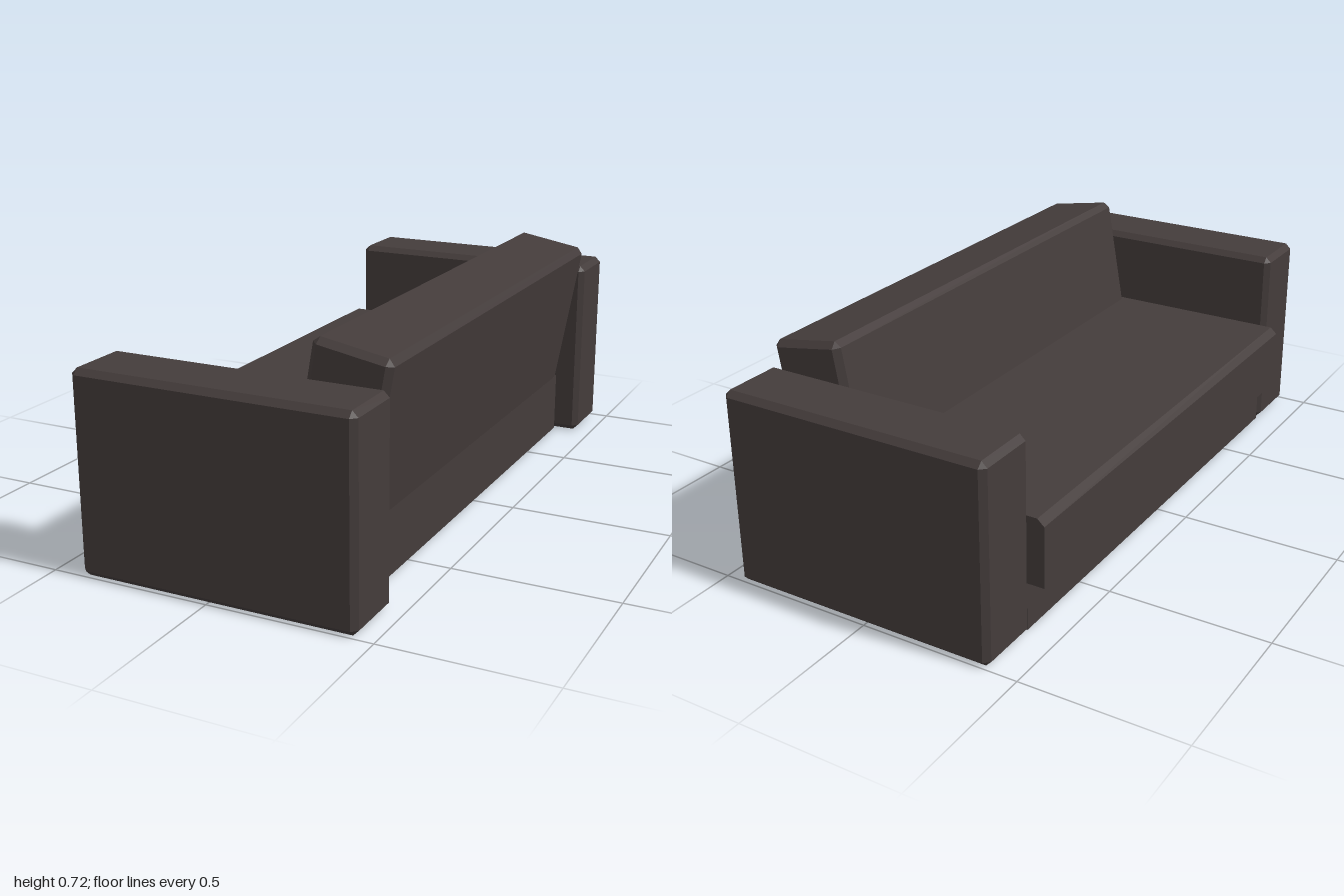
import * as THREE from 'three';
import { ConvexGeometry } from 'three/addons/geometries/ConvexGeometry.js';

// Box with every edge cut at 45 degrees
function chamferedBox(w, h, d, c) {
  const half = [w / 2, h / 2, d / 2];
  const points = [];
  for (const sx of [-1, 1]) for (const sy of [-1, 1]) for (const sz of [-1, 1]) {
    for (let axis = 0; axis < 3; axis++) {
      const [x, y, z] = half.map((s, i) => (i === axis ? s : s - c));
      points.push(new THREE.Vector3(sx * x, sy * y, sz * z));
    }
  }
  return new ConvexGeometry(points);
}

export function createModel() {
  const sofa = new THREE.Group();
  sofa.name = 'sofa';
  const fabric = new THREE.MeshStandardMaterial({ color: 0x443c3b });
  fabric.name = 'dark brown fabric';

  const add = (name, geometry, x, y, z) => {
    const mesh = new THREE.Mesh(geometry, fabric);
    mesh.name = name;
    mesh.position.set(x, y, z);
    sofa.add(mesh);
    return mesh;
  };

  const innerLength = 1.574;

  // Arms at both ends
  const arm = chamferedBox(0.86, 0.607, 0.213, 0.0175);
  for (const side of [-1, 1]) {
    add(side > 0 ? 'leftArm' : 'rightArm', arm, 0.02, 0.3035, side * 0.8935);
  }

  // Base between the arms
  add('base', new THREE.BoxGeometry(0.766, 0.2, innerLength), -0.017, 0.1, 0);

  // Seat with a cut upper front edge
  const profile = new THREE.Shape([
    [-0.455, 0.15], [0.3, 0.15], [0.3, 0.36], [-0.433, 0.36], [-0.455, 0.34],
  ].map(([x, y]) => new THREE.Vector2(x, y)));
  const seat = new THREE.ExtrudeGeometry(profile, { depth: innerLength, bevelEnabled: false });
  add('seat', seat, 0, 0, -innerLength / 2);

  // Backrest leaning back, sunk into seat and base
  const backrest = add('backrest', chamferedBox(0.24, 0.6, innerLength, 0.0185), 0.28, 0.4035, 0);
  backrest.rotation.z = THREE.MathUtils.degToRad(-10);

  return sofa;
}
